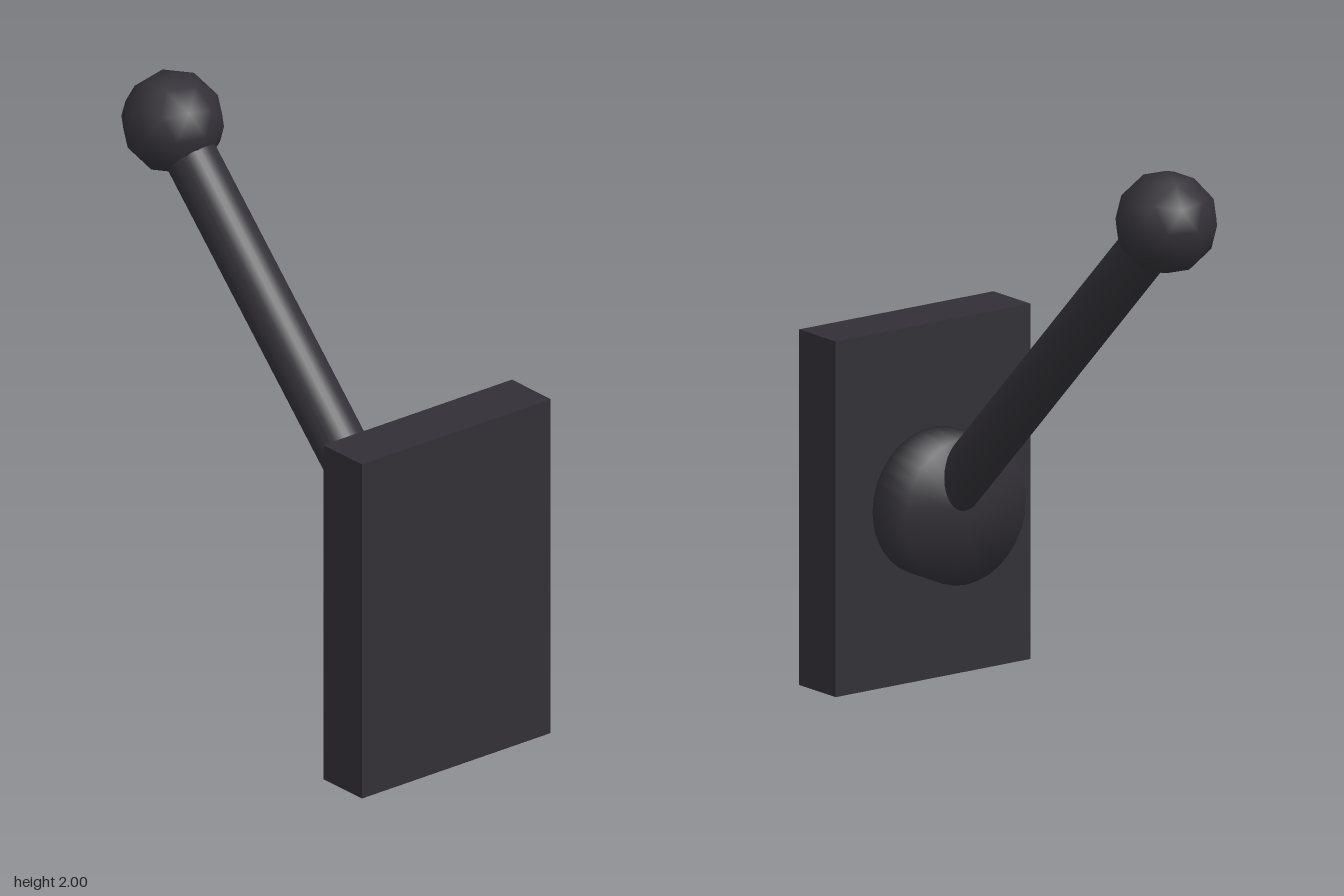
import * as THREE from 'three';
import { mergeVertices } from 'three/addons/utils/BufferGeometryUtils.js';

// Weld all corners so shading flows smoothly over the edges
function smooth(geometry) {
  geometry.deleteAttribute('normal');
  geometry.deleteAttribute('uv');
  const welded = mergeVertices(geometry, 1e-4);
  welded.computeVertexNormals();
  return welded;
}

export function createModel() {
  const group = new THREE.Group();
  const material = new THREE.MeshStandardMaterial({ color: 0x323036 });

  const add = (name, geometry, x, y, z) => {
    const mesh = new THREE.Mesh(geometry, material);
    mesh.name = name;
    mesh.position.set(x, y, z);
    group.add(mesh);
    return mesh;
  };

  // Flat rectangular wall plate
  add('wallPlate', new THREE.BoxGeometry(0.81, 1.215, 0.2), 0, 0.6075, 0.722);

  // Round boss on the back of the plate
  const boss = smooth(new THREE.CylinderGeometry(0.252, 0.252, 0.178, 32));
  boss.rotateX(Math.PI / 2);
  add('boss', boss, 0, 0.608, 0.534);

  // Lever arm, from the middle of the boss up to the knob at 45 degrees
  const start = new THREE.Vector3(0, 0.61, 0.57);
  const end = new THREE.Vector3(0, 1.825, -0.645);
  const middle = start.clone().add(end).multiplyScalar(0.5);
  const arm = new THREE.CylinderGeometry(0.089, 0.089, start.distanceTo(end), 32);
  const armMesh = add('leverArm', arm, middle.x, middle.y, middle.z);
  armMesh.rotation.x = -Math.PI / 4;

  // Faceted ball knob, turned so that one corner points straight up
  const knob = new THREE.IcosahedronGeometry(0.175, 1);
  knob.rotateZ(-Math.atan(2 / (1 + Math.sqrt(5))));
  add('knob', knob, end.x, end.y, end.z);

  return group;
}
